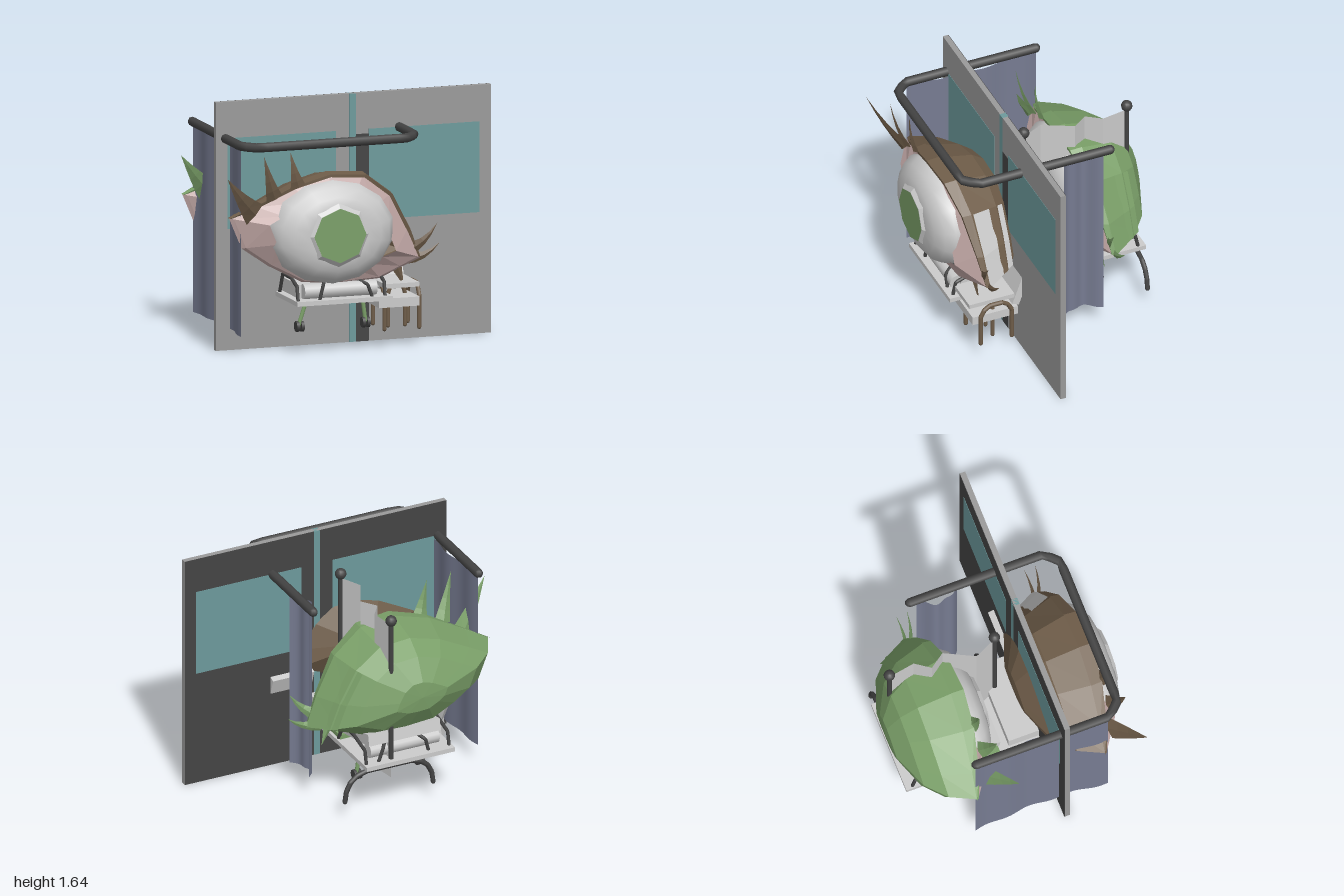
import * as THREE from 'three';

const GREY = 0xcccccc, DARK = 0x444444, BROWN = 0x6f5d49, GREEN = 0x7a9f68;
const PINK = 0xc4aaa8, TEAL = 0x6d9a9c, CLOTH = 0x777c92, WALL = 0x9a9a9a;

const V = (p) => new THREE.Vector3(...p);

function add(parent, name, geometry, color, flat = false, double = false) {
  const material = new THREE.MeshStandardMaterial({ color, flatShading: flat });
  if (double) material.side = THREE.DoubleSide;
  const mesh = new THREE.Mesh(geometry, material);
  mesh.name = name;
  parent.add(mesh);
  return mesh;
}

// Box given by its limits on each axis
function box(parent, name, [x0, x1], [y0, y1], [z0, z1], color = GREY) {
  const m = add(parent, name, new THREE.BoxGeometry(x1 - x0, y1 - y0, z1 - z0), color);
  m.position.set((x0 + x1) / 2, (y0 + y1) / 2, (z0 + z1) / 2);
  return m;
}

// Bent pipe with closed ends
function pipe(parent, name, points, r, color, sides = 8) {
  const path = new THREE.CurvePath();
  points.slice(1).forEach((p, i) => path.add(new THREE.LineCurve3(V(points[i]), V(p))));
  add(parent, name, new THREE.TubeGeometry(path, points.length * 8, r, sides), color);
  for (const p of [points[0], points.at(-1)]) {
    add(parent, name + 'End', new THREE.SphereGeometry(r, sides, 4), color).position.set(...p);
  }
}

// Strips between cross-sections, each an array of points of equal length
function loft(sections) {
  const n = sections[0].length, index = [];
  for (let j = 0; j < sections.length - 1; j++) {
    for (let i = 0; i < n - 1; i++) {
      const a = j * n + i, b = a + n;
      index.push(a, b, a + 1, a + 1, b, b + 1);
    }
  }
  const g = new THREE.BufferGeometry();
  g.setAttribute('position', new THREE.Float32BufferAttribute(sections.flat(2), 3));
  g.setIndex(index);
  g.computeVertexNormals();
  return g;
}

// Almond outline of the eyelids; ring() scales it at depth z, bulging forward in the middle
const ALMOND = [[0.42, 0.58], [0.34, 0.78], [0.2, 1.03], [0, 1.18], [-0.25, 1.2], [-0.5, 1.13],
  [-0.75, 1.0], [-0.9, 0.92], [-0.82, 0.72], [-0.65, 0.6], [-0.42, 0.48], [-0.15, 0.46],
  [0.12, 0.47], [0.28, 0.53], [0.42, 0.58]];
const CX = -0.23, CY = 0.82;
const ring = ([s, z, bulge = 0], from = 0, to = ALMOND.length) =>
  ALMOND.slice(from, to).map(([x, y]) =>
    [CX + (x - CX) * s, CY + (y - CY) * s, z + bulge * (1 - ((x - CX) / 0.67) ** 2)]);

// Curved, tapering eyelash
function lash(parent, base, tip, width, color, bend = 0.06) {
  const a = V(base), b = V(tip);
  const mid = a.clone().lerp(b, 0.5).add(new THREE.Vector3(0, -bend, bend * 0.5));
  const curve = new THREE.QuadraticBezierCurve3(a, mid, b);
  const sections = [];
  for (let j = 0; j <= 4; j++) {
    const p = curve.getPoint(j / 4), t = curve.getTangent(j / 4);
    const side = new THREE.Vector3(-t.y, t.x, 0).normalize().multiplyScalar(width * (1 - j / 4));
    const thick = 0.018 * (1 - j / 4);
    sections.push([0, 1, 2, 3, 0].map((k) => {
      const c = [1, 0, -1, 0][k], s = [0, 1, 0, -1][k];
      return [p.x + side.x * c, p.y + side.y * c, p.z + s * thick];
    }));
  }
  add(parent, 'lash', loft(sections), color, true, true);
}

function makeEye(lidColor, irisColor, patchColor) {
  const eye = new THREE.Group();
  const shell = [[1, 0.5, 0.07], [0.87, 0.33], [0.66, 0.21], [0.28, 0.12], [0, 0.11]];
  add(eye, 'eyelidShell', loft(shell.map((r) => ring(r))), lidColor, true, true);
  add(eye, 'innerLid', loft([[1, 0.5, 0.07], [0.96, 0.52, 0.08], [0.66, 0.65]].map((r) => ring(r))),
    PINK, true, true);
  add(eye, 'upperLidEdge', loft([[1.01, 0.49, 0.07], [0.99, 0.51, 0.14], [0.94, 0.51, 0.14]]
    .map((r) => ring(r, 0, 8))), lidColor, true, true);
  add(eye, 'lidPatch', loft([ring([1.01, 0.49, 0.05], 0, 3), ring([0.82, 0.28], 0, 3)]), patchColor, true, true);

  // Eyeball dome with bevelled iris
  const dome = [[0, 0.762], [0.48, 0.755], [0.7, 0.735], [0.87, 0.69], [0.97, 0.63], [1, 0.54]];
  const ball = new THREE.LatheGeometry(dome.map(([r, h]) => new THREE.Vector2(r, h)), 14);
  ball.rotateX(Math.PI / 2).scale(0.435, 0.35, 1);
  add(eye, 'eyeball', ball, GREY, false, true).position.set(CX, 0.81, 0);
  const bevel = new THREE.CylinderGeometry(0.18, 0.21, 0.025, 8).rotateX(Math.PI / 2);
  add(eye, 'irisBevel', bevel, GREY, true).position.set(CX, 0.81, 0.76);
  add(eye, 'iris', new THREE.CircleGeometry(0.18, 8), irisColor).position.set(CX, 0.81, 0.775);

  // Lashes: upper outer group, then lower inner group
  lash(eye, [-0.75, 0.95, 0.58], [-1.0, 1.23, 0.75], 0.085, lidColor, 0.03);
  lash(eye, [-0.63, 1.05, 0.62], [-0.73, 1.35, 0.7], 0.06, lidColor, 0.04);
  lash(eye, [-0.47, 1.12, 0.63], [-0.53, 1.36, 0.65], 0.055, lidColor, 0.04);
  lash(eye, [0.33, 0.64, 0.5], [0.52, 0.81, 0.55], 0.05, lidColor);
  lash(eye, [0.33, 0.58, 0.48], [0.56, 0.67, 0.49], 0.045, lidColor);
  lash(eye, [0.24, 0.55, 0.53], [0.3, 0.4, 0.52], 0.04, lidColor, 0);
  return eye;
}

// Hanging cloth running along z, bowed sideways with slight folds
function curtain(parent, name, x, z0, z1, bow, folds, depth) {
  const g = new THREE.PlaneGeometry(z1 - z0, 1.24, 40, 1).rotateY(Math.PI / 2);
  const p = g.attributes.position;
  for (let i = 0; i < p.count; i++) {
    const t = p.getZ(i) / (z1 - z0) + 0.5;
    p.setX(i, bow * Math.sin(Math.PI * t) + depth * Math.sin(folds * Math.PI * 2 * t));
  }
  g.computeVertexNormals();
  add(parent, name, g, CLOTH, false, true).position.set(x, 0.76, (z0 + z1) / 2);
}

export function createModel() {
  const model = new THREE.Group();

  // Dividing wall, dark behind, with windows and a vertical stripe
  box(model, 'wall', [-0.9, 1], [0, 1.64], [0.213, 0.25], WALL);
  box(model, 'wallBacking', [-0.9, 1], [0, 1.64], [0.21, 0.213], DARK);
  box(model, 'windowRight', [0.155, 0.92], [0.8, 1.4], [0.208, 0.252], TEAL);
  box(model, 'windowLeft', [-0.82, -0.07], [0.8, 1.4], [0.208, 0.252], TEAL);
  box(model, 'wallStripe', [0.02, 0.065], [0, 1.64], [0.208, 0.252], TEAL);
  box(model, 'wallDarkStripe', [0.065, 0.155], [0, 1.37], [0.24, 0.252], DARK);

  // Two resting eyes
  const front = makeEye(BROWN, GREEN, GREY);
  front.name = 'frontEye';
  const back = makeEye(GREEN, BROWN, GREEN);
  back.name = 'backEye';
  back.position.z = -0.89;
  model.add(front, back);

  // Ceiling rail and curtains
  pipe(model, 'curtainRail', [[-0.835, 1.4, -0.38], [-0.835, 1.4, 0.55], [-0.75, 1.4, 0.635],
    [0.28, 1.4, 0.635], [0.365, 1.4, 0.55], [0.365, 1.4, -0.38]], 0.031, DARK);
  curtain(model, 'leftCurtain', -0.83, -0.38, 0.54, 0.03, 3, 0.008);
  curtain(model, 'rightCurtain', 0.37, -0.33, -0.05, -0.07, 2, 0.01);

  // Beds
  box(model, 'frontBedBoard', [-0.49, 0.17], [0.34, 0.37], [0.25, 0.67]);
  box(model, 'backBedBoard', [-0.49, 0.15], [0.34, 0.37], [-0.73, 0.21]);
  box(model, 'mattress', [-0.44, 0.1], [0.37, 0.46], [0, 0.56]);
  box(model, 'blanket', [-0.47, 0.13], [0.37, 0.4], [-0.3, -0.07], GREEN);
  box(model, 'raisedMattress', [-0.42, 0.1], [0.42, 0.5], [-0.66, -0.05]).rotation.x = 0.2;
  for (const z of [0.58, -0.6]) {
    const roll = new THREE.CylinderGeometry(0.05, 0.05, 0.5, 12).rotateZ(Math.PI / 2);
    add(model, 'bolster', roll, GREY).position.set(-0.17, 0.42, z);
  }
  for (const s of [1, -1]) {
    const zEdge = s > 0 ? 0.63 : -0.68, z = 0.42 * s;
    // Guard rails
    pipe(model, 'sideRail', [[-0.32, 0.37, zEdge], [-0.3, 0.45, zEdge], [-0.24, 0.49, zEdge - s * 0.12],
      [-0.09, 0.5, zEdge - s * 0.14], [0.01, 0.45, zEdge], [0.04, 0.37, zEdge]], 0.012, DARK);
    for (const x of [-0.47, 0.13]) {
      pipe(model, 'endRail', [[x, 0.37, zEdge], [x, 0.46, zEdge - s * 0.02],
        [x, 0.5, z + s * 0.08], [x, 0.5, z - s * 0.08], [x, 0.37, z - s * 0.14]], 0.012, DARK);
    }
    // Leg frame on castors
    pipe(model, 'bedLegs', [[-0.39, 0.17, z], [-0.34, 0.32, z], [0.05, 0.32, z], [0.07, 0.17, z]], 0.014, GREEN);
    for (const x of [-0.385, 0.07]) {
      for (const dx of [-0.016, 0.016]) {
        const wheel = new THREE.CylinderGeometry(0.035, 0.035, 0.02, 10).rotateZ(Math.PI / 2);
        add(model, 'castor', wheel, DARK).position.set(x + dx, 0.16, z);
      }
    }
  }

  // Folding screen: two poles with arched feet and a pleated sheet
  const foot = [[-0.32, 0.13], [-0.31, 0.2], [-0.28, 0.26], [-0.23, 0.3], [-0.16, 0.32]];
  for (const z of [-0.68, 0.05]) {
    pipe(model, 'screenPole', [[-0.05, 0.32, z], [-0.05, 1.36, z]], 0.017, DARK);
    add(model, 'poleKnob', new THREE.SphereGeometry(0.038, 12, 8), DARK).position.set(-0.05, 1.38, z);
    const half = (m) => foot.map(([x, y]) => [-0.035 + m * x, y, z]);
    pipe(model, 'screenFoot', [...half(1), ...half(-1).reverse()], 0.017, DARK);
  }
  const pleats = [[-0.05, -0.68], [-0.02, -0.5], [-0.09, -0.4], [-0.02, -0.3], [-0.12, -0.1], [-0.05, 0.05]];
  add(model, 'screenSheet', loft([0.23, 1.35].map((y) => pleats.map(([x, z]) => [x, y, z]))), GREY, true, true);

  // Chair with tubular legs
  box(model, 'chairSeat', [0.1, 0.38], [0.28, 0.34], [0.28, 0.6]);
  box(model, 'chairTray', [0.13, 0.37], [0.41, 0.44], [0.3, 0.62]);
  box(model, 'chairBack', [0.08, 0.38], [0.35, 0.65], [0.22, 0.27]).rotation.x = -0.35;
  const arch = [[-1, 0.13], [-1, 0.34], [-0.75, 0.39], [-0.4, 0.415], [0.4, 0.415], [0.75, 0.39], [1, 0.34], [1, 0.13]];
  for (const x of [0.155, 0.395]) {
    pipe(model, 'chairLegs', arch.map(([u, y]) => [x, y, 0.44 + u * 0.11]), 0.015, BROWN);
  }
  pipe(model, 'middleLegs', arch.map(([u, y]) => [0.278 + u * 0.058, y, 0.44]), 0.014, BROWN);

  // Basin with water
  const basin = new THREE.Group();
  basin.name = 'basin';
  const profile = [[0, 0.13], [0.1, 0.13], [0.09, 0.24], [0.13, 0.36], [0.13, 0.46], [0.09, 0.46], [0.08, 0.4]];
  add(basin, 'basinBowl', new THREE.LatheGeometry(profile.map((p) => new THREE.Vector2(...p)), 9), GREY, true, true);
  add(basin, 'water', new THREE.CircleGeometry(0.09, 9).rotateX(-Math.PI / 2), TEAL).position.y = 0.43;
  basin.position.set(-0.64, 0, -0.06);
  basin.scale.z = 1.15;
  model.add(basin);

  return model;
}
